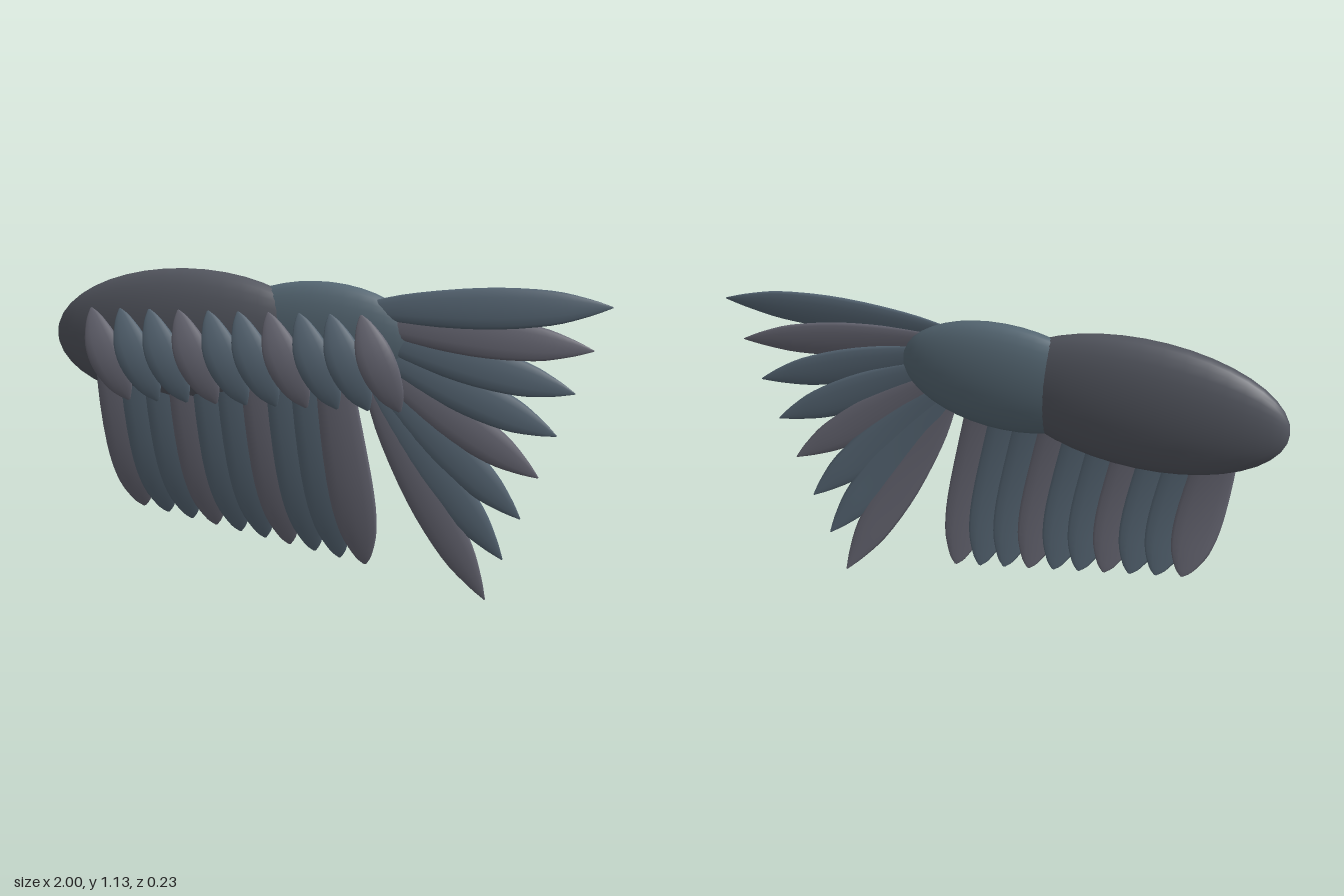
import * as THREE from 'three';
import { mergeVertices } from 'three/addons/utils/BufferGeometryUtils.js';

const V = (x, y, z) => new THREE.Vector3(x, y, z);
const material = (color) => new THREE.MeshStandardMaterial({ color });
const greyFeather = material(0x666672);
const blueFeather = material(0x566674);

// Half-width along a feather: x = position from root to tip, y = share of the full half-width
const outline = (...points) => new THREE.SplineCurve(points.map(([t, w]) => new THREE.Vector2(t, w)));
const pointedOutline = outline([0, 0.3], [0.2, 0.75], [0.5, 1], [0.75, 0.85], [0.9, 0.45], [1, 0.03]);
const bluntOutline = outline([0, 0.6], [0.2, 0.85], [0.6, 1], [0.82, 0.85], [0.95, 0.42], [1, 0.05]);
const leafOutline = outline([0, 0.05], [0.12, 0.5], [0.35, 0.95], [0.6, 1], [0.85, 0.65], [1, 0.08]);

// A thin, bowed feather from root to tip; roll turns it about its own length
function feather(name, root, tip, { profile, width, thickness, bow, roll, grey }) {
  const along = V(tip.x - root.x, tip.y - root.y, 0);
  const length = along.length();
  along.normalize();
  const front = V(0, 0, 1);
  const side = along.clone().cross(front).applyAxisAngle(along, -roll);
  const normal = side.clone().cross(along);

  let geometry = new THREE.CylinderGeometry(1, 1, 1, 12, 18);
  geometry.deleteAttribute('uv');
  geometry.deleteAttribute('normal');
  const position = geometry.attributes.position;
  const p = V(0, 0, 0);
  for (let i = 0; i < position.count; i++) {
    p.fromBufferAttribute(position, i);
    const { x: t, y: w } = profile.getPoint(p.y + 0.5);
    const z = THREE.MathUtils.lerp(root.z, tip.z, t) + bow * 4 * t * (1 - t);
    const point = V(root.x, root.y, z)
      .addScaledVector(along, t * length)
      .addScaledVector(side, p.x * w * width)
      .addScaledVector(normal, p.z * w * thickness);
    position.setXYZ(i, point.x, point.y, point.z);
  }
  geometry = mergeVertices(geometry);
  geometry.computeVertexNormals();
  const mesh = new THREE.Mesh(geometry, grey ? greyFeather : blueFeather);
  mesh.name = name;
  return mesh;
}

// A row of feathers spaced evenly between the first and last root and tip
function featherRow(name, count, roots, tips, options, greyOffset) {
  const row = new THREE.Group();
  row.name = name + 's';
  for (let i = 0; i < count; i++) {
    const k = i / (count - 1);
    row.add(feather(name + (i + 1),
      roots[0].clone().lerp(roots[1], k),
      tips[0].clone().lerp(tips[1], k),
      { ...options, grey: i % 3 === greyOffset }));
  }
  return row;
}

function ellipsoid(name, center, radii, color) {
  const geometry = new THREE.SphereGeometry(1, 28, 20).rotateZ(Math.PI / 2);
  const mesh = new THREE.Mesh(geometry, material(color));
  mesh.name = name;
  mesh.position.copy(center);
  mesh.scale.copy(radii);
  return mesh;
}

export function createModel() {
  const wing = new THREE.Group();
  wing.name = 'wing';

  // Fleshy arm
  wing.add(ellipsoid('shoulder', V(-0.5, 0.895, -0.02), V(0.5, 0.24, 0.093), 0x53565f));
  wing.add(ellipsoid('forearm', V(-0.02, 0.9, -0.027), V(0.37, 0.2, 0.072), 0x566874));

  // Fan of long feathers at the wing tip
  wing.add(featherRow('primaryFeather', 8,
    [V(0.16, 1.01, 0), V(0.19, 0.74, 0.01)],
    [V(1, 1.03, -0.08), V(0.575, 0.005, -0.098)],
    { profile: pointedOutline, width: 0.07, thickness: 0.014, bow: 0.018, roll: 0.15 }, 1));

  // Hanging feathers below the arm
  wing.add(featherRow('secondaryFeather', 10,
    [V(-0.78, 0.86, 0.015), V(0.05, 0.86, 0.015)],
    [V(-0.68, 0.27, -0.045), V(0.155, 0.11, -0.055)],
    { profile: bluntOutline, width: 0.08, thickness: 0.012, bow: 0.025, roll: 0.12 }, 0));

  // Short overlapping feathers on the front of the arm
  wing.add(featherRow('covertFeather', 10,
    [V(-0.825, 0.995, 0.07), V(0.175, 0.995, 0.07)],
    [V(-0.69, 0.67, 0.055), V(0.31, 0.67, 0.055)],
    { profile: leafOutline, width: 0.062, thickness: 0.012, bow: 0.035, roll: 0.25 }, 0));

  return wing;
}
